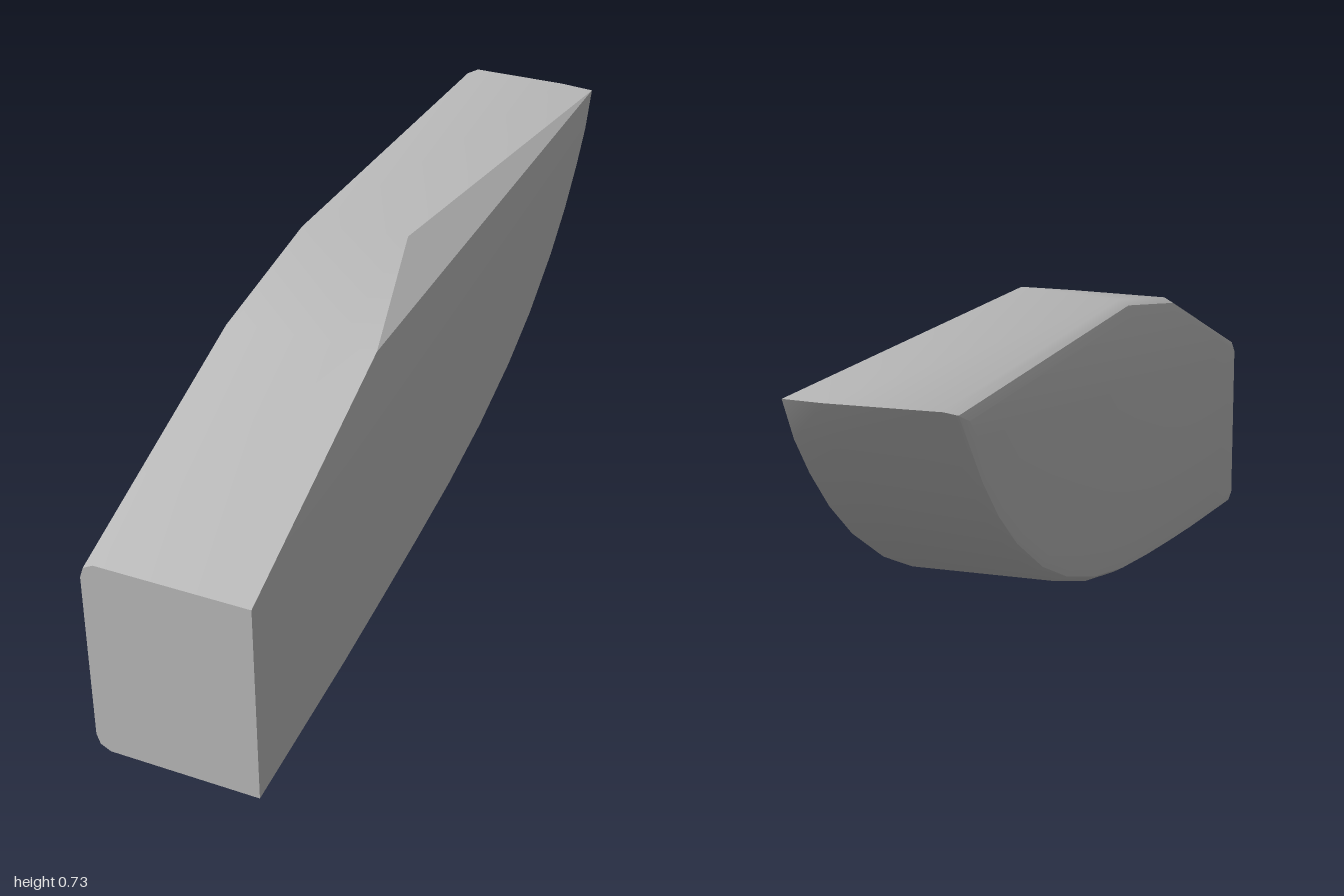
import * as THREE from 'three';
import { toCreasedNormals } from 'three/addons/utils/BufferGeometryUtils.js';

// side outline as [z, y]: belly from front to rear tip, then the top back to the front
const belly = [
  [1, 0], [0.8, 0.015], [0.6, 0.03], [0.4, 0.048], [0.2, 0.068], [0, 0.092], [-0.2, 0.13],
  [-0.4, 0.188], [-0.55, 0.252], [-0.7, 0.342], [-0.8, 0.423], [-0.88, 0.507], [-0.94, 0.585],
];
const PEAK = belly.length + 1; // index of the highest top point

function outline(peakY, shoulderY) {
  return [...belly, [-1, 0.67], [0.03, peakY], [0.4, shoulderY], [1, 0.465]];
}

// Shrink an outline towards its inside; the front end only moves vertically
function inset(pts, d) {
  const n = pts.length;
  return pts.map(([z, y], i) => {
    if (i === 0) return [z, y + d];
    if (i === n - 1) return [z, y - d];
    const p = new THREE.Vector2(z - pts[i - 1][0], y - pts[i - 1][1]).normalize();
    const q = new THREE.Vector2(pts[i + 1][0] - z, pts[i + 1][1] - y).normalize();
    const t = p.clone().add(q).normalize();
    const m = d * Math.min(1.5, 1 / Math.max(0.01, t.dot(p)));
    return [z + t.y * m, y - t.x * m];
  });
}

const at = (x, pts) => pts.map(([z, y]) => [x, y, z]);

function bodyGeometry() {
  const edge = outline(0.713, 0.663);
  // the flat side leans in slightly towards the top and the rear
  const flatSide = outline(0.67, 0.67).map(([z, y], i) => {
    let x = 0.18;
    if (i < belly.length) x -= 0.012 * Math.max(0, (0.6 - z) / 1.6);
    else if (z < 1) x = z > 0.2 ? 0.167 : z > -0.5 ? 0.166 : 0.165;
    return [x, y, z < -0.99 ? -0.99 : z];
  });
  const rings = [
    at(-0.18, inset(edge, 0.036)),
    at(-0.172, inset(edge, 0.012)),
    at(-0.15, edge),
    at(0.08, outline(0.73, 0.669)),
    flatSide,
  ];
  const n = edge.length;
  const position = rings.flat(2);
  const index = [];
  for (let r = 0; r < rings.length - 1; r++) {
    for (let j = 0; j < n; j++) {
      const k = (j + 1) % n;
      const a = r * n + j, b = r * n + k, c = b + n, e = a + n;
      // the diagonals meet at the peak to form the sloping facet
      if (j === PEAK) index.push(a, b, c, a, c, e);
      else index.push(a, b, e, b, c, e);
    }
  }
  // end caps, fanned from the top front corner
  const last = (rings.length - 1) * n;
  for (let j = 0; j < n - 2; j++) {
    index.push(n - 1, j + 1, j);
    index.push(last + n - 1, last + j, last + j + 1);
  }
  const g = new THREE.BufferGeometry();
  g.setAttribute('position', new THREE.Float32BufferAttribute(position, 3));
  g.setIndex(index);
  return toCreasedNormals(g, 0.56);
}

export function createModel() {
  const group = new THREE.Group();
  group.name = 'curvedBlock';
  const grey = new THREE.MeshStandardMaterial({ color: 0xb8b8b8 });
  grey.name = 'grey';
  const body = new THREE.Mesh(bodyGeometry(), grey);
  body.name = 'body';
  group.add(body);
  return group;
}
